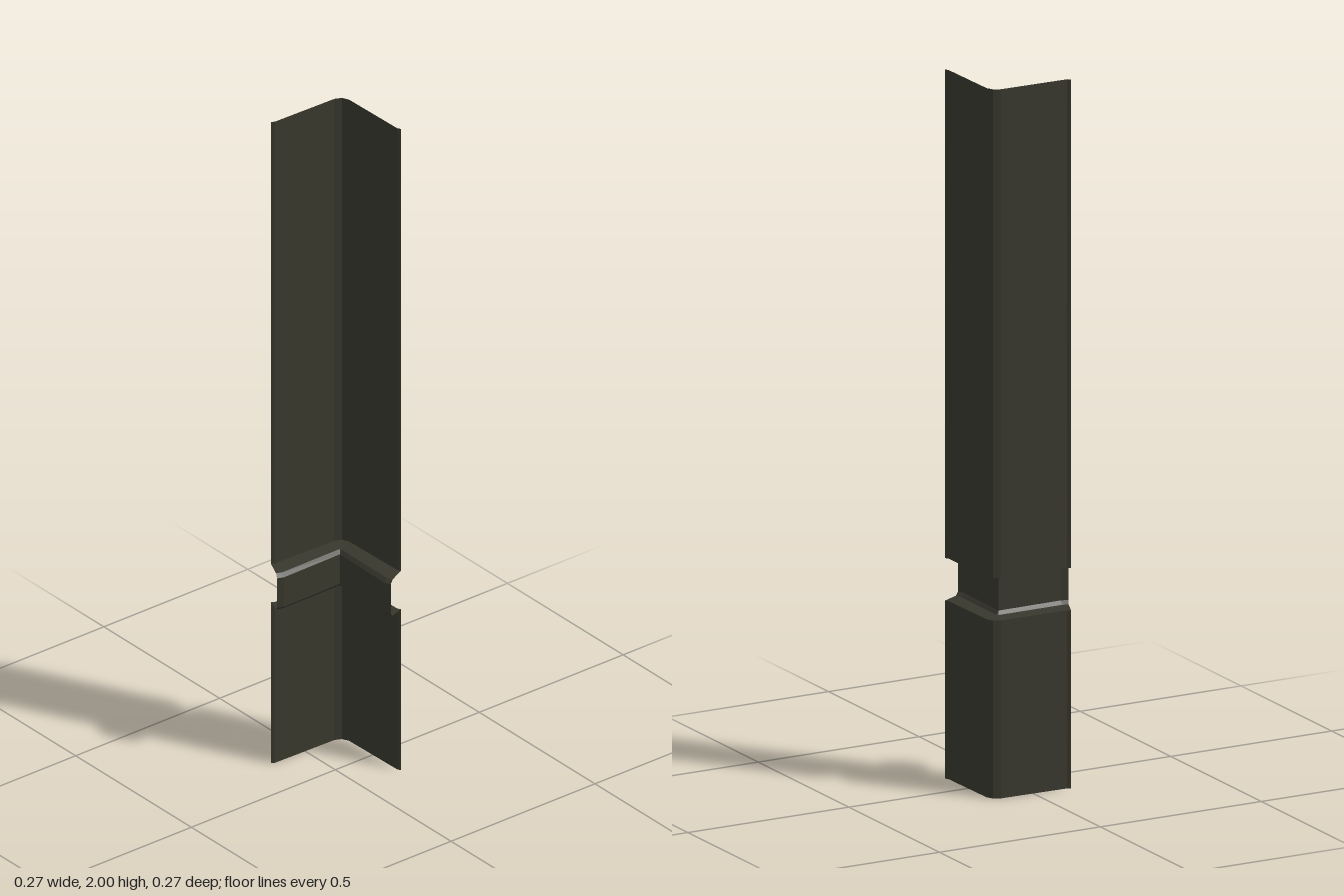
import * as THREE from 'three';

// Half of the angle's plan, from the free edge to the corner:
// [sheet x, sheet z, bead x, bead z]
const half = [
  [0.113, -0.138, 0.134, -0.085],
  [0.104, -0.132, 0.115, -0.078],
  [-0.1, -0.128, -0.079, -0.081],
];
const corner = [-0.119, -0.119, -0.0805, -0.0805];
// Mirror across the diagonal for the second wing
const plan = [
  ...half,
  corner,
  ...half.map(([x, z, bx, bz]) => [z, x, bz, bx]).reverse(),
];

// Sweep a profile of [height, push toward the bead] along the plan
function sheet(name, profile, material) {
  const positions = [];
  const at = ([x, z, bx, bz], [y, t]) => [x + (bx - x) * t, y, z + (bz - z) * t];
  for (let i = 0; i < plan.length - 1; i++) {
    for (let j = 0; j < profile.length - 1; j++) {
      const a = at(plan[i], profile[j]);
      const b = at(plan[i + 1], profile[j]);
      const c = at(plan[i], profile[j + 1]);
      const d = at(plan[i + 1], profile[j + 1]);
      positions.push(...a, ...c, ...b, ...b, ...c, ...d);
    }
  }
  const geometry = new THREE.BufferGeometry();
  geometry.setAttribute('position', new THREE.Float32BufferAttribute(positions, 3));
  geometry.computeVertexNormals();
  const mesh = new THREE.Mesh(geometry, material);
  mesh.name = name;
  return mesh;
}

export function createModel() {
  const group = new THREE.Group();
  group.name = 'cornerTrim';
  const darkMetal = new THREE.MeshStandardMaterial({ color: 0x38372d, side: THREE.DoubleSide });
  darkMetal.name = 'dark olive metal';

  // Long upper sheet, pressed-in bead and short lower sheet
  group.add(sheet('upperSheet', [[2, 0], [0.622, 0]], darkMetal));
  group.add(sheet('pressedBead', [
    [0.622, 0], [0.618, 0.83], [0.607, 1], [0.515, 1], [0.505, 0.83], [0.502, 0],
  ], darkMetal));
  group.add(sheet('lowerSheet', [[0.502, 0], [0, 0]], darkMetal));
  return group;
}
